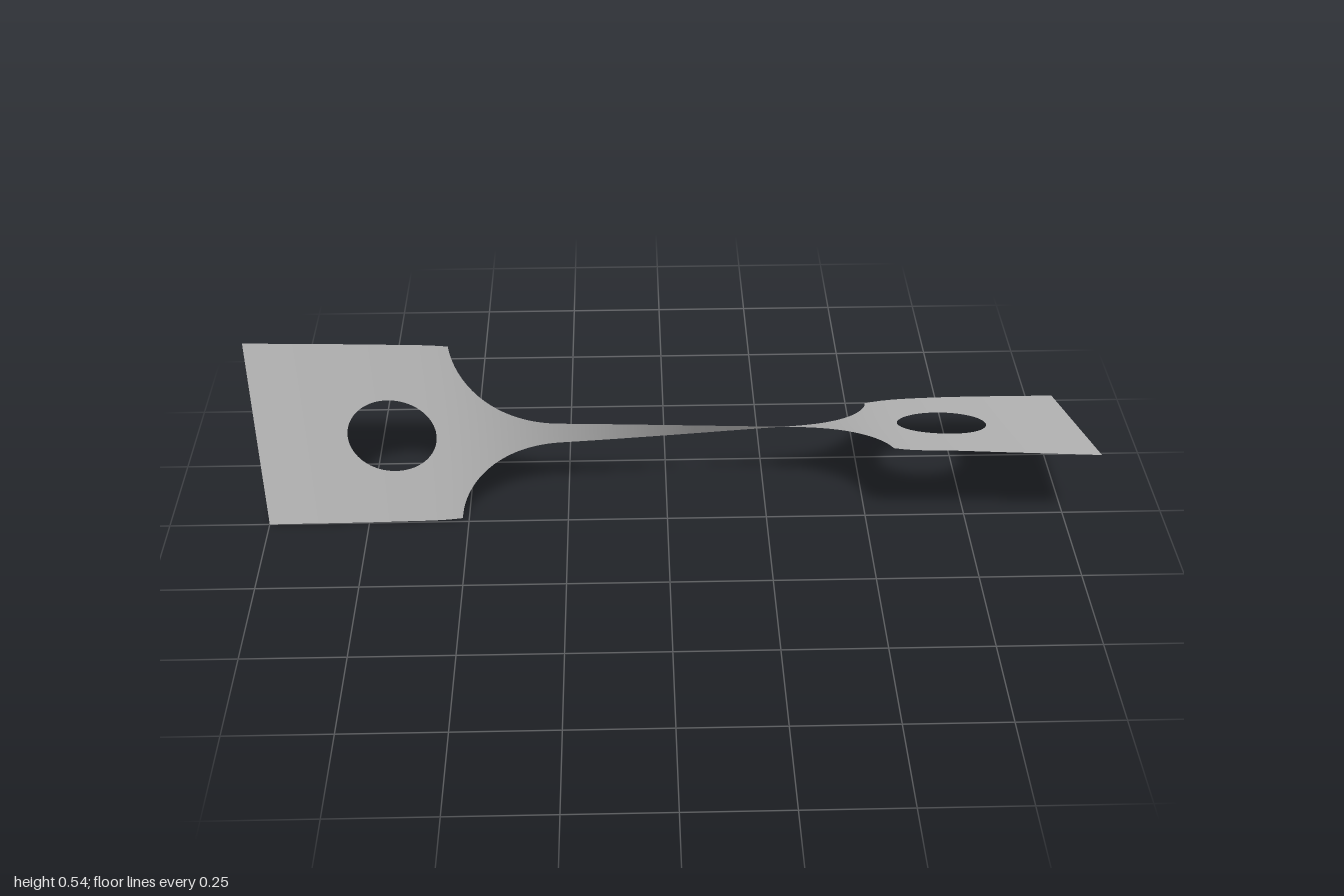
import * as THREE from 'three';
import { ParametricGeometry } from 'three/addons/geometries/ParametricGeometry.js';

const HALF = 0.27;          // half width of the end plates
const NECK = 0.0375;        // half width of the narrow bar
const FILLET = 0.257;       // radius of the rounded shoulders
const FILLET_X = 0.26;      // where the shoulders meet the bar
const SHOULDER = 0.5155;    // where the shoulders meet the plates
const HOLE_X = 0.67, HOLE_R = 0.108;

// Stations along the strip: x, twist in degrees, centre y, centre z
const STATIONS = [
  [-1, 0, 0.27, 0],
  [-0.67, 1.8, 0.271, 0.006],
  [-0.515, 4, 0.271, 0.007],
  [-0.28, 16, 0.272, 0.005],
  [0, 35.3, 0.275, 0.003],
  [0.28, 54.5, 0.278, 0],
  [0.515, 66.5, 0.281, 0],
  [0.67, 68.7, 0.283, 0],
  [1, 70.5, 0.275, 0],
];

// Smooth interpolation of one station column
function along(x, col) {
  const S = STATIONS, last = S.length - 1;
  let i = 0;
  while (i < last - 1 && x > S[i + 1][0]) i++;
  const slope = (k) => {
    const a = S[Math.max(k - 1, 0)], b = S[Math.min(k + 1, last)];
    return (b[col] - a[col]) / (b[0] - a[0]);
  };
  const d = S[i + 1][0] - S[i][0], t = (x - S[i][0]) / d, t2 = t * t, t3 = t2 * t;
  return (2 * t3 - 3 * t2 + 1) * S[i][col] + (t3 - 2 * t2 + t) * d * slope(i)
    + (3 * t2 - 2 * t3) * S[i + 1][col] + (t3 - t2) * d * slope(i + 1);
}

// Place a point of the flat outline (x, w across) on the twisted sheet
function twist(x, w, target) {
  const a = THREE.MathUtils.degToRad(along(x, 1));
  target.set(x, along(x, 2) + w * Math.cos(a), along(x, 3) + w * Math.sin(a));
}

// Half width of the bar and its shoulders
function halfWidth(x) {
  const e = Math.max(Math.abs(x) - FILLET_X, 0);
  return Math.min(HALF, NECK + FILLET - Math.sqrt(Math.max(FILLET * FILLET - e * e, 0)));
}

// Rectangular plate spanned from the rim of its round hole to its border
function plateGeometry(x0, x1, holeX) {
  const corners = [[x0, -HALF], [x1, -HALF], [x1, HALF], [x0, HALF]];
  return new ParametricGeometry((u, v, target) => {
    const s = (v * 4) % 4, k = Math.floor(s), f = s - k;
    const a = corners[k], b = corners[(k + 1) % 4];
    const bx = a[0] + (b[0] - a[0]) * f, bw = a[1] + (b[1] - a[1]) * f;
    const angle = Math.atan2(bw, bx - holeX);
    const hx = holeX + HOLE_R * Math.cos(angle), hw = HOLE_R * Math.sin(angle);
    twist(hx + (bx - hx) * u, hw + (bw - hw) * u, target);
  }, 10, 96);
}

export function createModel() {
  const group = new THREE.Group();
  group.name = 'twistedTestStrip';
  const metal = new THREE.MeshStandardMaterial({ color: 0xc0c0c0, side: THREE.DoubleSide });
  metal.name = 'greyMetal';

  const add = (name, geometry) => {
    const mesh = new THREE.Mesh(geometry, metal);
    mesh.name = name;
    group.add(mesh);
  };

  // End plates with holes
  add('rightPlate', plateGeometry(-1, -SHOULDER, -HOLE_X));
  add('leftPlate', plateGeometry(SHOULDER, 1, HOLE_X));

  // Twisted bar with rounded shoulders, sampled more densely near the plates
  add('twistedBar', new ParametricGeometry((u, v, target) => {
    const x = SHOULDER * Math.sin((u - 0.5) * Math.PI * 0.98) / Math.sin(Math.PI * 0.49);
    twist(x, (v * 2 - 1) * halfWidth(x), target);
  }, 120, 16));

  return group;
}
